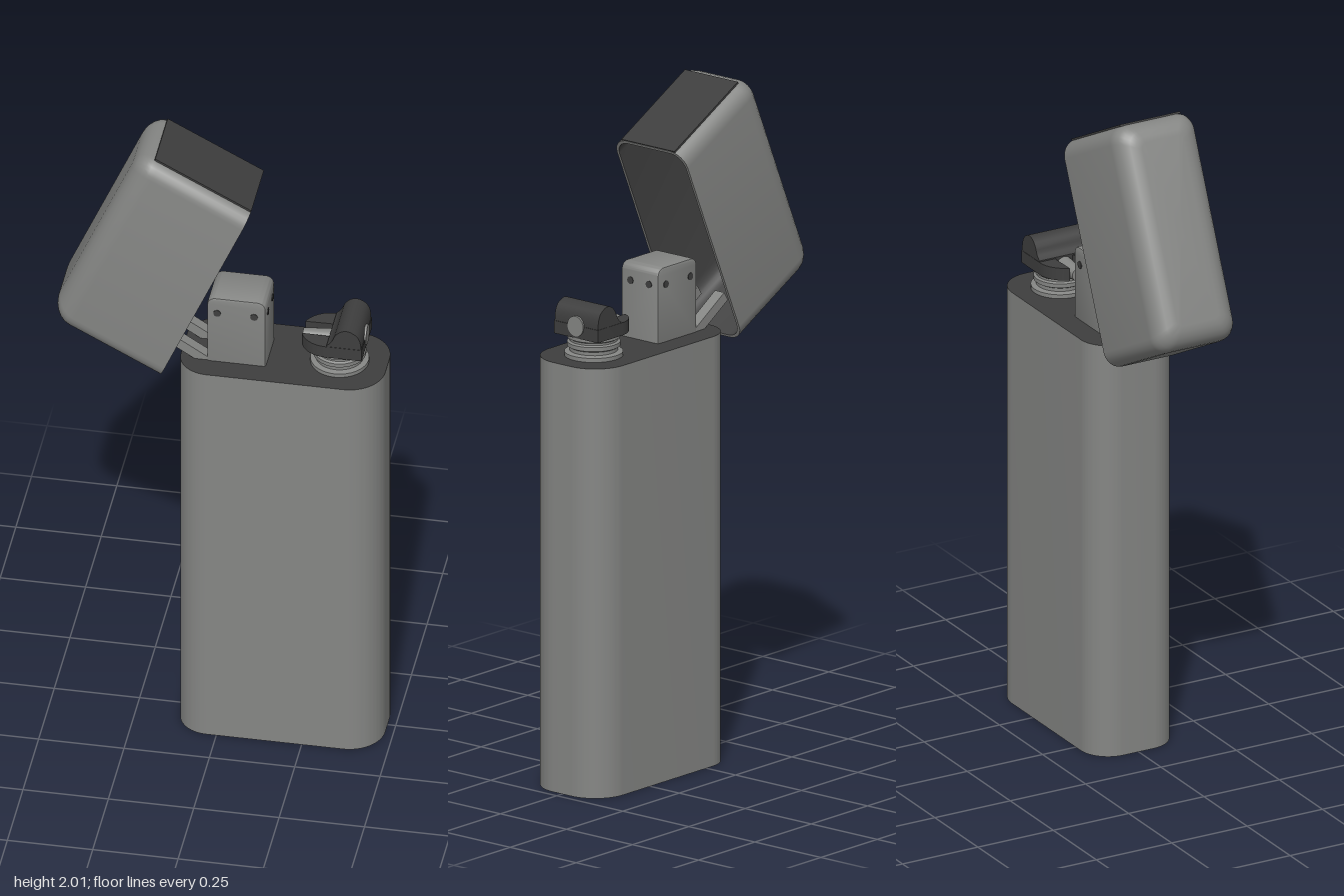
import * as THREE from 'three';
import { toCreasedNormals } from 'three/addons/utils/BufferGeometryUtils.js';

const mat = (name, color, side = THREE.FrontSide) => {
  const m = new THREE.MeshStandardMaterial({ color, side });
  m.name = name;
  return m;
};

// Lid frame: hinge corner of the open edge, length along that edge, depth to the closed end
const LID = { x: -0.172, y: 1.243, ux: 0.267, uy: 0.614, nx: -0.325, ny: 0.171, len: 0.67, depth: 0.367 };

// Rounded rectangle section of the lid at depth s, shrunk by inset
function lidRing(inset, s) {
  const pts = [];
  const hA = Math.max(LID.len / 2 - inset, 0), hZ = Math.max(0.134 - inset, 0);
  const r = Math.min(Math.max(0.05 - inset * 0.5, 0.015), hA, hZ);
  const k = s / LID.depth;
  [[1, 1], [-1, 1], [-1, -1], [1, -1]].forEach(([sa, sz], c) => {
    for (let i = 0; i <= 6; i++) {
      const t = (c + i / 6) * Math.PI / 2;
      const a = (sa * (hA - r) + r * Math.cos(t) + LID.len / 2) / LID.len;
      const z = sz * (hZ - r) + r * Math.sin(t);
      pts.push([LID.x + LID.ux * a + LID.nx * k, LID.y + LID.uy * a + LID.ny * k, z]);
    }
  });
  return pts;
}

function loft(rings, flip) {
  const n = rings[0].length, idx = [];
  for (let k = 0; k < rings.length - 1; k++) {
    for (let j = 0; j < n; j++) {
      const a = k * n + j, b = k * n + (j + 1) % n, c = a + n, d = b + n;
      if (flip) idx.push(a, b, c, b, d, c);
      else idx.push(a, c, b, b, c, d);
    }
  }
  const g = new THREE.BufferGeometry();
  g.setAttribute('position', new THREE.Float32BufferAttribute(rings.flat(2), 3));
  g.setIndex(idx);
  return toCreasedNormals(g, 0.7);
}

// Side wall sections, rounded closed end, flat cap
function lidRings(wall) {
  const R = 0.065 - wall, end = LID.depth - wall, rings = [lidRing(wall, 0)];
  for (let i = 0; i <= 6; i++) {
    const t = i / 6 * Math.PI / 2;
    rings.push(lidRing(wall + R * (1 - Math.cos(t)), end - R * (1 - Math.sin(t))));
  }
  const m = lidRing(0, end).reduce((p, q) => p.map((v, i) => v + q[i] / 28), [0, 0, 0]);
  rings.push(rings[0].map(() => m));
  return rings;
}

// Plan outline, y of the shape becomes -z
function planExtrude(shape, y0, y1) {
  const g = new THREE.ExtrudeGeometry(shape, { depth: y1 - y0, bevelEnabled: false, curveSegments: 12 });
  g.rotateX(-Math.PI / 2).translate(0, y0, 0);
  return toCreasedNormals(g, 0.6);
}

// Front outline centred on z = 0
function frontExtrude(shape, depth, bevel) {
  const g = new THREE.ExtrudeGeometry(shape, {
    depth: depth - 2 * bevel, bevelEnabled: bevel > 0, bevelSize: bevel, bevelThickness: bevel,
    bevelOffset: -bevel, bevelSegments: 2, curveSegments: 6,
  });
  g.translate(0, 0, -depth / 2 + bevel);
  return toCreasedNormals(g, 0.6);
}

export function createModel() {
  const group = new THREE.Group();
  const steel = mat('brushed grey', 0x858684);
  const dark = mat('dark grey', 0x3e3e3e);
  const inside = mat('dark lining', 0x434343, THREE.DoubleSide);
  const add = (name, geo, m, x = 0, y = 0, z = 0) => {
    const mesh = new THREE.Mesh(geo, m);
    mesh.name = name;
    mesh.position.set(x, y, z);
    group.add(mesh);
    return mesh;
  };

  // Case: broad rounded right end, tighter left end, dark top deck
  const xl = -0.12, xr = 0.476, h = 0.14, rl = 0.09, rr = 0.105;
  const plan = new THREE.Shape();
  plan.moveTo(xl + rl, -h);
  plan.lineTo(xr - rr, -h);
  plan.absarc(xr - rr, -h + rr, rr, -Math.PI / 2, 0);
  plan.absarc(xr - rr, h - rr, rr, 0, Math.PI / 2);
  plan.absarc(xl + rl, h - rl, rl, Math.PI / 2, Math.PI);
  plan.absarc(xl + rl, -h + rl, rl, Math.PI, Math.PI * 1.5);
  add('case', planExtrude(plan, 0, 1.28), steel);
  add('caseTop', planExtrude(plan, 1.28, 1.286), [dark, steel]);

  // Lid shell, lining and dark end panel
  add('lid', loft([lidRing(0.008, 0), ...lidRings(0)], false), steel);
  add('lidLining', loft(lidRings(0.008), true), inside);
  const panelGeo = new THREE.BoxGeometry(0.318, 0.006, 0.2);
  const panel = add('lidEndPanel', panelGeo, dark, 0.095 - 0.885 * 0.16, 1.857 + 0.465 * 0.16, 0);
  panel.rotation.z = -Math.atan2(LID.ny, -LID.nx);

  // Hinge arms
  for (const z of [-0.05, 0.05]) {
    const arm = add('hingeArm', new THREE.BoxGeometry(0.17, 0.03, 0.035), steel, -0.1, 1.318, z);
    arm.rotation.z = -0.56;
  }

  // Chimney with rounded top corners
  const ch = new THREE.Shape();
  ch.moveTo(-0.04, 1.28);
  ch.lineTo(0.132, 1.28);
  ch.absarc(0.107, 1.485, 0.025, 0, Math.PI / 2);
  ch.absarc(-0.015, 1.485, 0.025, Math.PI / 2, Math.PI);
  add('chimney', frontExtrude(ch, 0.14, 0.006), steel);
  const hole = new THREE.CylinderGeometry(0.011, 0.011, 0.004, 16);
  for (const s of [-1, 1]) {
    for (const x of [-0.01, 0.098]) {
      add('chimneyHole', hole, dark, x, 1.458, s * 0.07).rotation.x = Math.PI / 2;
    }
    add('chimneySideHole', hole, dark, 0.132, 1.458, s * 0.035).rotation.z = Math.PI / 2;
  }

  // Ringed collar under the burner cap
  const collar = [[0, 1.28], [0.085, 1.28], [0.085, 1.298], [0.07, 1.302], [0.07, 1.312], [0.077, 1.316],
    [0.077, 1.328], [0.07, 1.332], [0.07, 1.338], [0.077, 1.342], [0.077, 1.356], [0, 1.356]];
  const collarGeo = new THREE.LatheGeometry(collar.map(p => new THREE.Vector2(...p)), 32);
  add('burnerCollar', toCreasedNormals(collarGeo, 0.5), steel, 0.336);

  // Cap slab, rounded on the left with a round-ended slot
  const slab = new THREE.Shape();
  slab.moveTo(0.415, -0.083);
  slab.lineTo(0.415, 0.083);
  slab.lineTo(0.308, 0.083);
  slab.absarc(0.308, 0, 0.083, Math.PI / 2, Math.PI - 0.35);
  slab.absarc(0.302, 0, 0.03, Math.PI / 2, -Math.PI / 2, true);
  slab.absarc(0.308, 0, 0.083, Math.PI + 0.35, Math.PI * 1.5);
  add('capSlab', planExtrude(slab, 1.352, 1.39), dark);

  // Raised thumb hump
  const hump = new THREE.Shape();
  hump.moveTo(0.312, 1.37);
  hump.lineTo(0.312, 1.394);
  hump.quadraticCurveTo(0.326, 1.402, 0.335, 1.428);
  hump.quadraticCurveTo(0.36, 1.465, 0.392, 1.444);
  hump.quadraticCurveTo(0.418, 1.43, 0.412, 1.37);
  add('capHump', frontExtrude(hump, 0.164, 0), dark);

  // Nozzle lying in the slot and its round end
  const nozzle = add('nozzle', new THREE.CylinderGeometry(0.02, 0.028, 0.1, 20), steel, 0.28, 1.364, 0);
  nozzle.rotation.z = Math.PI / 2;
  add('nozzleEnd', new THREE.CylinderGeometry(0.03, 0.03, 0.012, 24), steel, 0.412, 1.388, 0).rotation.z = Math.PI / 2;

  return group;
}
